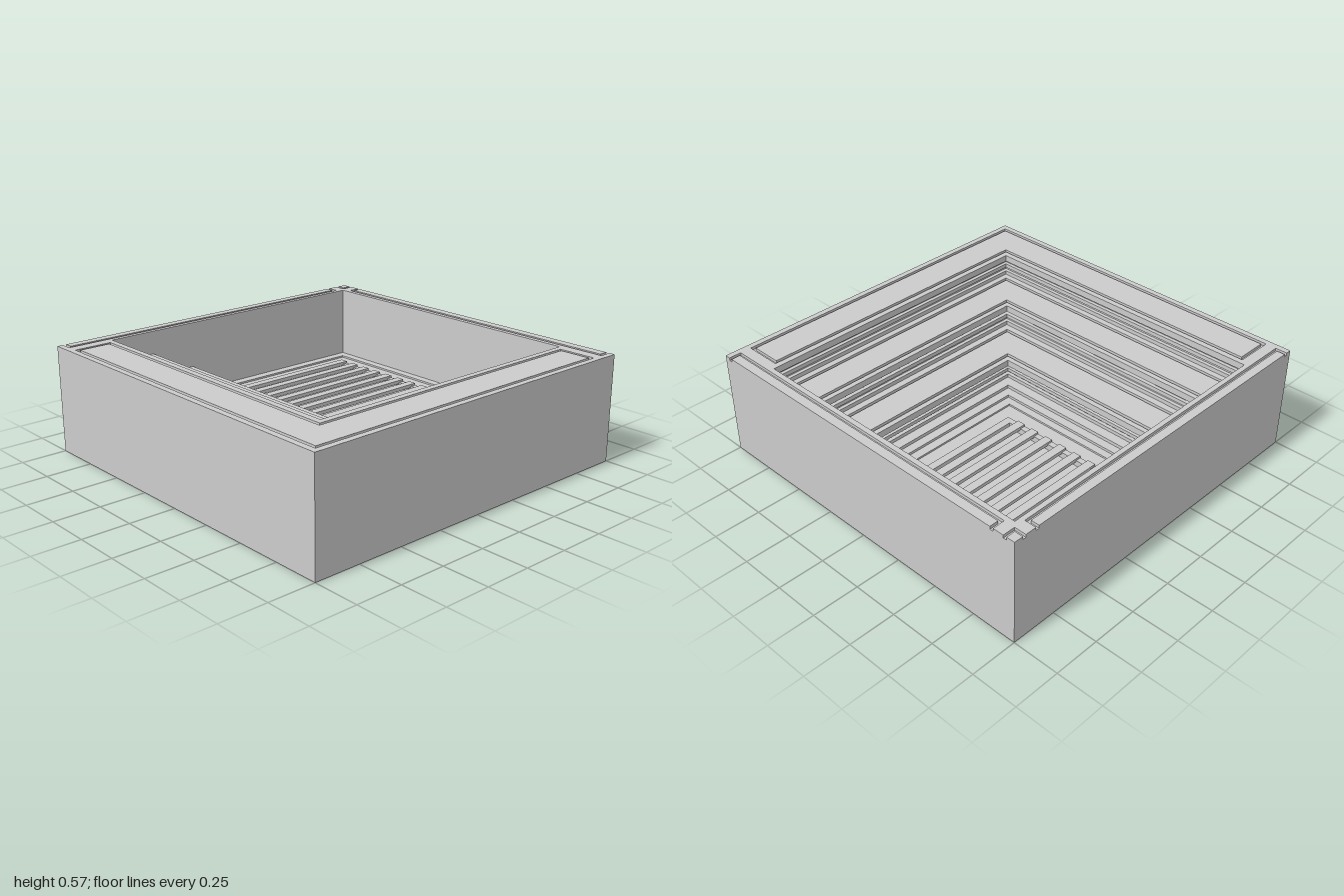
import * as THREE from 'three';

const material = new THREE.MeshStandardMaterial({ color: 0xcccccc, flatShading: true });
const RIGHT = 0.905, BACK = -0.91;   // inner faces of the two plain walls
const GROOVE = 0.018, GROOVE_DEPTH = 0.016;

const points = (list) => list.map(([x, z]) => new THREE.Vector2(x, z));
const rect = (x0, x1, z0, z1) => points([[x0, z0], [x1, z0], [x1, z1], [x0, z1]]);
const square = rect(-1, 1, -1, 1);
const pit = (p) => rect(-p, RIGHT, BACK, p);

// L-shaped outline of a tread panel between offsets a (outer) and b (inner), shrunk by s
function panel(a, b, s = 0) {
  const o = a - s, i = b + s, back = -0.877 + s, right = 0.872 - s;
  return points([[-o, back], [-o, o], [right, o], [right, i], [-i, i], [-i, back]]);
}

export function createModel() {
  const group = new THREE.Group();

  // Horizontal slab from a plan outline in (x, z), with its top at height top
  function slab(name, outline, top, height, holes = []) {
    const shape = new THREE.Shape(outline);
    holes.forEach((h) => shape.holes.push(new THREE.Path(h)));
    const geometry = new THREE.ExtrudeGeometry(shape, { depth: height, bevelEnabled: false });
    geometry.rotateX(Math.PI / 2).translate(0, top, 0);
    const mesh = new THREE.Mesh(geometry, material);
    mesh.name = name;
    group.add(mesh);
  }

  // Rim outline, notched where grooves run out to the back and right edges
  const rim = points([
    [-1, -1], [-0.968, -1], [-0.968, -0.936], [0.872, -0.936], [0.872, -1],
    [0.933, -1], [0.933, -0.936], [1, -0.936], [1, -0.877], [0.933, -0.877],
    [0.933, 0.968], [1, 0.968], [1, 1], [-1, 1],
  ]);
  slab('backWallPanel', rect(-0.95, 0.854, -1, -0.954), 0.575, GROOVE_DEPTH);
  slab('cornerPanel', rect(0.951, 1, -1, -0.954), 0.575, GROOVE_DEPTH);
  slab('rightWallPanel', rect(0.951, 1, -0.859, 0.95), 0.575, GROOVE_DEPTH);

  // Three treads, each with a grooved panel, a nosing and a ribbed riser below
  const steps = [
    { top: 0.575, bottom: 0.45, p: 0.73, a: 0.968, b: 0.762 },
    { top: 0.45, bottom: 0.325, p: 0.48, a: 0.703, b: 0.508 },
    { top: 0.325, bottom: 0.212, p: 0.225, a: 0.449, b: 0.254 },
  ];
  steps.forEach(({ top, bottom, p, a, b }, i) => {
    slab('tread', i === 0 ? rim : square, top, GROOVE_DEPTH, [pit(p), panel(a, b)]);
    slab('treadPanel', panel(a, b, GROOVE), top, GROOVE_DEPTH);
    let y = top - GROOVE_DEPTH;
    slab('nosing', square, y, 0.02, [pit(p)]);
    y -= 0.02;
    const rib = (y - bottom) / 4;
    for (let k = 0; k < 4; k++) {
      slab('riserRib', square, y - k * rib, rib, [pit(p + (k % 2 ? 0.006 : 0.026))]);
    }
  });

  // Low plinth steps and the border round the floor
  slab('lowerPlinth', square, 0.212, 0.018, [pit(0.176)]);
  slab('floorPlinth', square, 0.194, 0.014, [pit(0.128)]);
  slab('floorBorder', square, 0.18, 0.01, [rect(-0.086, 0.858, -0.86, 0.08)]);

  // Floor with a shallow drain opening and the solid base beneath
  slab('floor', square, 0.17, 0.025, [rect(0.032, 0.744, -0.765, -0.037)]);
  slab('base', square, 0.145, 0.145);

  // Drain grate: a thin frame carrying eight cross bars
  slab('grateFrame', rect(0, 0.776, -0.797, 0.005), 0.178, 0.008,
    [rect(0.032, 0.744, -0.765, -0.037)]);
  for (let i = 0; i < 8; i++) {
    const z = -0.757 + i * 0.0953;
    slab('grateBar', rect(0, 0.776, z - 0.023, z + 0.023), 0.19, 0.02);
  }
  return group;
}
